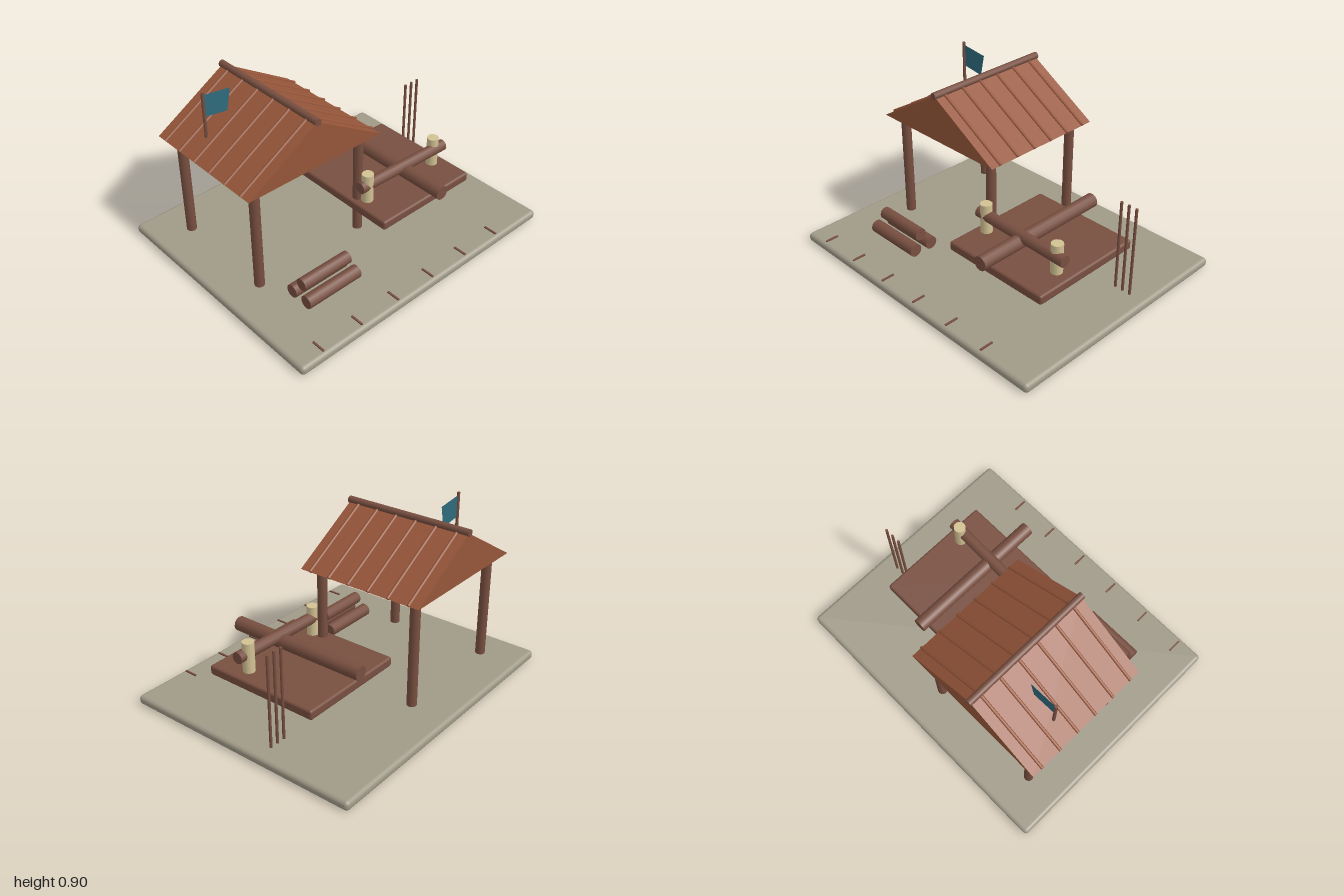
import * as THREE from 'three';
import { RoundedBoxGeometry } from 'three/addons/geometries/RoundedBoxGeometry.js';

const mat = (name, color, side = THREE.FrontSide) => {
  const m = new THREE.MeshStandardMaterial({ color, side });
  m.name = name;
  return m;
};

export function createModel() {
  const stone = mat('stone', 0xa09a88);
  const wood = mat('wood', 0x784f40);
  const shingle = mat('roof', 0x96563a);
  const pale = mat('paleWood', 0xd2c294);
  const cloth = mat('cloth', 0x2f6b7c, THREE.DoubleSide);

  const model = new THREE.Group();
  model.name = 'workshopYard';
  // The whole yard sits diagonally
  const yard = new THREE.Group();
  yard.name = 'yard';
  yard.rotation.y = Math.PI / 4;
  model.add(yard);

  const add = (name, geometry, material, x = 0, y = 0, z = 0) => {
    const m = new THREE.Mesh(geometry, material);
    m.name = name;
    m.position.set(x, y, z);
    yard.add(m);
    return m;
  };
  // Round bar between two points
  const bar = (name, a, b, r, material = wood, sides = 12) => {
    const p = new THREE.Vector3(...a), q = new THREE.Vector3(...b);
    const d = q.clone().sub(p);
    const m = add(name, new THREE.CylinderGeometry(r, r, d.length(), sides), material);
    m.position.copy(p).add(q).multiplyScalar(0.5);
    m.quaternion.setFromUnitVectors(new THREE.Vector3(0, 1, 0), d.normalize());
    return m;
  };

  // Ground slab
  add('groundSlab', new RoundedBoxGeometry(1.57, 0.048, 1.284, 3, 0.02), stone, 0, 0.024, 0);

  // Shelter posts
  const cx = -0.283, cz = -0.16;
  for (const sx of [-1, 1]) for (const sz of [-1, 1]) {
    const x = cx + sx * 0.311, z = cz + sz * 0.272;
    bar('shelterPost', [x, 0.04, z], [x, 0.61, z], 0.025);
  }

  // Gabled roof
  const half = 0.388, eave = 0.605, ridge = 0.84, depth = 0.678;
  const gable = new THREE.Shape([
    new THREE.Vector2(-half, eave), new THREE.Vector2(half, eave), new THREE.Vector2(0, ridge)]);
  add('roof', new THREE.ExtrudeGeometry(gable, { depth, bevelEnabled: false }),
    shingle, cx, 0, cz - depth / 2);

  // Battens down both slopes and the ridge pole
  for (let i = 0; i < 6; i++) {
    const z = cz - depth / 2 + depth * (i + 0.5) / 6;
    for (const s of [-1, 1])
      bar('roofBatten', [cx, ridge, z], [cx + s * half, eave + 0.002, z], 0.008, shingle, 8);
  }
  bar('ridgePole', [cx, 0.842, cz - 0.347], [cx, 0.842, cz + 0.347], 0.018);

  // Flag on the roof
  bar('flagPole', [-0.562, 0.66, -0.265], [-0.562, 0.902, -0.265], 0.008, wood, 8);
  const flag = new THREE.Shape([
    new THREE.Vector2(0, 0.775), new THREE.Vector2(0.125, 0.757),
    new THREE.Vector2(0.148, 0.87), new THREE.Vector2(0, 0.888)]);
  add('flag', new THREE.ShapeGeometry(flag), cloth, -0.562, 0, -0.265);

  // Work deck with crossed logs and upright pegs
  add('deck', new RoundedBoxGeometry(0.596, 0.05, 0.624, 2, 0.012), wood, 0.281, 0.207, 0.033);
  bar('longLog', [0.285, 0.302, -0.325], [0.285, 0.302, 0.43], 0.037);
  bar('crossLog', [-0.002, 0.325, 0.16], [0.562, 0.325, 0.175], 0.03);
  for (const x of [0.046, 0.502])
    add('peg', new THREE.CylinderGeometry(0.03, 0.03, 0.155, 14), pale, x, 0.313, 0.162);

  // Log pile
  for (const z of [0.283, 0.381])
    bar('pileLog', [-0.54, 0.087, z], [-0.23, 0.087, z], 0.034);
  bar('pileLogTop', [-0.526, 0.152, 0.333], [-0.246, 0.152, 0.333], 0.032);

  // Row of upright poles
  for (let i = 0; i < 3; i++) {
    const x = 0.608 + i * 0.0425;
    bar('thinPole', [x, 0.04, -0.141], [x, 0.52, -0.141], 0.007, wood, 8);
  }

  // Small markers along the front edge
  for (let i = 0; i < 6; i++)
    add('edgeMarker', new THREE.BoxGeometry(0.009, 0.009, 0.07), wood, -0.65 + i * 0.228, 0.05, 0.588);

  return model;
}
